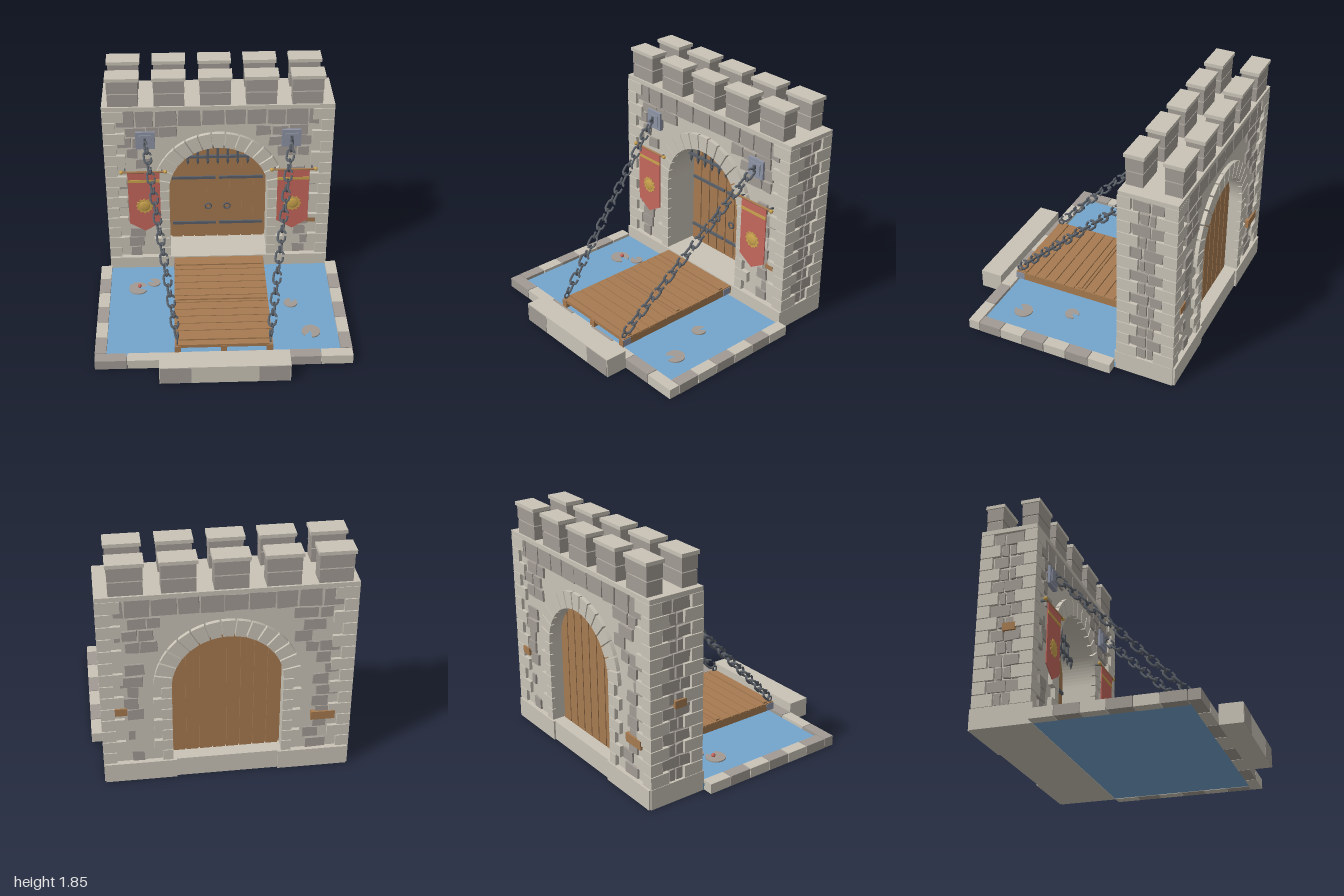
import * as THREE from 'three';

const mat = (name, color, double) => {
  const m = new THREE.MeshStandardMaterial({ color });
  m.name = name;
  if (double) m.side = THREE.DoubleSide;
  return m;
};

export function createModel() {
  const root = new THREE.Group();
  root.name = 'castleGate';
  const light = mat('lightStone', 0xcac4b7), dark = mat('darkStone', 0xa29b94), wood = mat('wood', 0xa67a50);
  const iron = mat('iron', 0x5a6068), plate = mat('steelPlate', 0x8d93a5), red = mat('bannerRed', 0xc4675c, true);
  const gold = mat('gold', 0xcba44e), blue = mat('water', 0x74a5cd);

  let seed = 7;
  const rnd = () => (seed = (seed * 16807) % 2147483647) / 2147483647;
  const group = (name, parent = root) => {
    const g = new THREE.Group();
    g.name = name;
    parent.add(g);
    return g;
  };
  const add = (parent, name, geo, m, x = 0, y = 0, z = 0) => {
    const mesh = new THREE.Mesh(geo, m);
    mesh.name = name;
    mesh.position.set(x, y, z);
    parent.add(mesh);
    return mesh;
  };
  // Box given by its limits
  const box = (parent, name, m, x0, x1, y0, y1, z0, z1) =>
    add(parent, name, new THREE.BoxGeometry(x1 - x0, y1 - y0, z1 - z0), m, (x0 + x1) / 2, (y0 + y1) / 2, (z0 + z1) / 2);
  // Box with uneven corners; matching corners move together
  const stone = (parent, m, x0, x1, y0, y1, z0, z1) => {
    const mesh = box(parent, 'wallStone', m, x0, x1, y0, y1, z0, z1);
    const p = mesh.geometry.attributes.position, j = Array.from({ length: 8 }, () => (rnd() - 0.5) * 0.014);
    for (let i = 0; i < p.count; i++) {
      const k = (p.getX(i) > 0 ? 1 : 0) + (p.getY(i) > 0 ? 2 : 0) + (p.getZ(i) > 0 ? 4 : 0);
      p.setXYZ(i, p.getX(i) + (x1 - x0 > 0.06 ? j[k] : 0), p.getY(i) + j[(k + 3) % 8], p.getZ(i) + (z1 - z0 > 0.06 ? j[k] : 0));
    }
    mesh.geometry.computeVertexNormals();
  };
  const extrude = (shape, depth, curveSegments = 24) =>
    new THREE.ExtrudeGeometry(shape, { depth, bevelEnabled: false, curveSegments });

  // Doorway outline
  const R = 0.41, SPRING = 0.82, BASE = 0.16;
  const archPath = (path, r, y0 = BASE) => {
    path.moveTo(-r, y0);
    path.lineTo(r, y0);
    path.lineTo(r, SPRING);
    path.absarc(0, SPRING, r, 0, Math.PI, false);
    path.lineTo(-r, y0);
    return path;
  };

  // Plinth and wall core
  const wall = group('wall');
  box(wall, 'plinth', light, -0.92, 0.92, 0, BASE, -0.93, -0.46);
  for (const s of [-1, 1]) box(wall, 'plinthEnd', light, s * 0.645 - 0.265, s * 0.645 + 0.265, 0, BASE, -0.945, -0.92);
  const core = new THREE.Shape();
  core.moveTo(-0.89, BASE);
  core.lineTo(-R, BASE);
  core.lineTo(-R, SPRING);
  core.absarc(0, SPRING, R, Math.PI, 0, true);
  core.lineTo(R, BASE);
  core.lineTo(0.89, BASE);
  core.lineTo(0.89, 1.57);
  core.lineTo(-0.89, 1.57);
  add(wall, 'wallCore', extrude(core, 0.4), light, 0, 0, -0.905);
  box(wall, 'topSlab', light, -0.92, 0.92, 1.565, 1.6, -0.93, -0.48);

  // Corner stones, alternately long and short
  const quoins = group('cornerStones', wall);
  for (let i = 0; i < 14; i++) {
    const y0 = BASE + i * 0.1004 + 0.003, y1 = y0 + 0.094;
    const w = i % 2 ? 0.17 : 0.1, d = i % 2 ? 0.1 : 0.16;
    for (const s of [-1, 1]) {
      const a = s > 0 ? 0.92 - w : -0.92, b = s > 0 ? 0.92 : -0.92 + w;
      box(quoins, 'frontCornerStone', light, a, b, y0, y1, -0.475 - d, -0.475);
      box(quoins, 'backCornerStone', light, a, b, y0, y1, -0.93, -0.93 + d);
    }
  }

  // Front and back: arch rings, jamb stones and rubble rows
  for (const [z0, z1, face] of [[-0.51, -0.47, 'front'], [-0.935, -0.9, 'back']]) {
    const ring = group(face + 'Arch', wall);
    const n = 15, step = Math.PI / n;
    for (let i = 0; i < n; i++) {
      const a = i * step + 0.012, b = (i + 1) * step - 0.012, s = new THREE.Shape();
      s.absarc(0, SPRING, R - 0.005, a, b, false);
      s.absarc(0, SPRING, 0.535, b, a, true);
      add(ring, 'archStone', extrude(s, z1 - z0, 4), light, 0, 0, z0);
    }
    for (let i = 0; i < 7; i++) for (const s of [-1, 1]) {
      const o = i % 2 ? 0.54 : 0.48, y = BASE + i * 0.0943;
      box(ring, 'jambStone', light, s > 0 ? R - 0.005 : -o, s > 0 ? o : 0.005 - R, y + 0.003, y + 0.091, z0, z1);
    }
    const rubble = group(face + 'Rubble', wall);
    const sz0 = face === 'front' ? -0.52 : -0.922, sz1 = face === 'front' ? -0.487 : -0.89;
    for (let i = 0; i < 14; i++) {
      const y0 = BASE + 0.008 + i * 0.0965, top = i === 13, h = top ? 0.135 : 0.084;
      let x = i % 2 ? -0.81 : -0.74;
      const end = -x;
      while (x < end - 0.05) {
        const w = Math.min(top ? 0.15 + rnd() * 0.04 : 0.1 + rnd() * 0.11, end - x);
        const nearX = Math.max(0, x, -(x + w));
        const clear = y0 > SPRING ? Math.hypot(nearX, y0 - SPRING) > 0.555 : nearX > 0.55;
        if (w > 0.04 && clear && (top || rnd() > 0.14)) stone(rubble, dark, x, x + w - 0.014, top ? 1.425 : y0, (top ? 1.425 : y0) + h, sz0, sz1);
        x += w;
      }
    }
  }

  // Side rubble
  const sides = group('sideRubble', wall);
  for (const s of [-1, 1]) for (let i = 0; i < 14; i++) {
    const y = BASE + 0.008 + i * 0.1, a = i % 2 ? -0.82 : -0.76, b = i % 2 ? -0.585 : -0.645;
    const mid = a + (b - a) * (0.35 + rnd() * 0.3), x0 = s > 0 ? 0.87 : -0.908, x1 = s > 0 ? 0.908 : -0.87;
    stone(sides, dark, x0, x1, y, y + 0.085, a, mid - 0.007);
    stone(sides, dark, x0, x1, y, y + 0.085, mid + 0.007, b);
  }

  // A few brown bricks
  box(wall, 'brick', wood, 0.73, 0.81, 0.485, 0.525, -0.51, -0.474);
  box(wall, 'brick', wood, 0.73, 0.82, 0.6, 0.66, -0.936, -0.89);
  box(wall, 'brick', wood, -0.8, -0.62, 0.43, 0.5, -0.936, -0.89);
  box(wall, 'brick', wood, -0.925, -0.88, 0.74, 0.8, -0.72, -0.62);

  // Battlements
  const merlons = group('battlements');
  for (let i = 0; i < 5; i++) for (const z of [-0.56, -0.85]) {
    const x = -0.75 + i * 0.3635;
    box(merlons, 'merlonLower', dark, x - 0.12, x + 0.12, 1.6, 1.705, z - 0.065, z + 0.065);
    box(merlons, 'merlonUpper', dark, x - 0.122, x + 0.122, 1.715, 1.82, z - 0.067, z + 0.067);
    box(merlons, 'merlonJoint', light, x - 0.11, x + 0.11, 1.7, 1.72, z - 0.058, z + 0.058);
    box(merlons, 'merlonCap', light, x - 0.133, x + 0.133, 1.82, 1.848, z - 0.077, z + 0.077);
  }

  // Plank door, straps and ring handles
  const door = group('door');
  add(door, 'doorBacking', extrude(archPath(new THREE.Shape(), R), 0.045), wood, 0, 0, -0.815);
  for (let i = 0; i < 8; i++) {
    const x0 = -0.4 + i * 0.1 + 0.005, x1 = x0 + 0.09, s = new THREE.Shape();
    const top = x => SPRING + Math.sqrt(Math.max(0, 0.408 ** 2 - x * x));
    s.moveTo(x0, BASE);
    s.lineTo(x1, BASE);
    for (let k = 0; k <= 4; k++) s.lineTo(x1 - 0.0225 * k, top(x1 - 0.0225 * k));
    add(door, 'doorPlank', extrude(s, 0.075), wood, 0, 0, -0.83);
  }
  for (const s of [-1, 1]) {
    for (const y of [0.31, 0.77]) box(door, 'strap', iron, s * 0.2 - 0.185, s * 0.2 + 0.185, y - 0.012, y + 0.012, -0.756, -0.74);
    add(door, 'ringHandle', new THREE.TorusGeometry(0.026, 0.007, 8, 20), iron, s * 0.08, 0.485, -0.74);
  }

  // Raised portcullis
  const port = group('portcullis');
  for (let i = 0; i < 9; i++) {
    const x = -0.33 + i * 0.0825, top = SPRING + Math.sqrt(0.41 ** 2 - x * x);
    box(port, 'bar', iron, x - 0.009, x + 0.009, 0.99, top, -0.669, -0.651);
    add(port, 'barPoint', new THREE.ConeGeometry(0.015, 0.045, 6), iron, x, 0.972, -0.66).rotation.x = Math.PI;
  }
  for (const [y, w] of [[1.03, 0.35], [1.13, 0.26]]) box(port, 'crossBar', iron, -w, w, y - 0.01, y + 0.01, -0.672, -0.648);

  // Moat with stone edging
  const moat = group('moat');
  box(moat, 'water', blue, -0.92, 0.92, 0.004, 0.055, -0.47, 0.68);
  for (let i = 0; i < 8; i++) box(moat, 'frontEdging', i % 2 ? light : dark, -1 + i * 0.25 + 0.003, -0.753 + i * 0.25, 0, 0.08, 0.672, 0.76);
  for (let i = 0; i < 6; i++) for (const s of [-1, 1])
    box(moat, 'sideEdging', i % 2 ? dark : light, s * 0.955 - 0.045, s * 0.955 + 0.045, 0, 0.08, -0.457 + i * 0.188, -0.275 + i * 0.188);
  box(moat, 'landing', light, -0.5, 0.5, 0, 0.155, 0.76, 0.937);
  for (const s of [-1, 1]) box(moat, 'landingFace', dark, s * 0.375 - 0.118, s * 0.375 + 0.118, 0.003, 0.15, 0.936, 0.94);
  // Lily pads with a notch
  for (const [x, z, r, turn] of [[-0.68, -0.16, 0.078, 0], [-0.55, -0.235, 0.052, 2.8], [0.57, 0.075, 0.056, 1.2], [0.7, 0.44, 0.074, -1.9]])
    add(moat, 'lilyPad', new THREE.CylinderGeometry(r, r, 0.01, 24, 1, false, turn + 1.9, 5.5), dark, x, 0.06, z);
  add(moat, 'lilyBud', new THREE.SphereGeometry(0.017, 12, 8), red, -0.67, 0.075, -0.175);

  // Drawbridge
  const bridge = group('drawbridge');
  for (let i = 0; i < 13; i++) {
    const z = -0.46 + i * 0.0877;
    box(bridge, 'plank', wood, -0.378, 0.378, 0.125, 0.153, z + 0.004, z + 0.084);
  }
  for (const x of [-0.355, 0, 0.355]) box(bridge, 'beam', wood, x - 0.024, x + 0.024, 0.085, 0.145, -0.46, 0.685);
  for (const z of [-0.355, 0.11, 0.605]) box(bridge, 'batten', wood, -0.365, 0.365, 0.15, 0.165, z - 0.018, z + 0.018);

  // Chains, wall plates and fittings
  const link = new THREE.TorusGeometry(0.03, 0.0095, 8, 16);
  const lp = link.attributes.position;
  for (let i = 0; i < lp.count; i++) lp.setY(i, lp.getY(i) + Math.sign(lp.getY(i)) * 0.018);
  link.computeVertexNormals();
  for (const s of [-1, 1]) {
    const chain = group(s > 0 ? 'leftChain' : 'rightChain');
    const a = new THREE.Vector3(s * 0.585, 1.3, -0.44), b = new THREE.Vector3(s * 0.362, 0.2, 0.64);
    const dir = b.clone().sub(a).normalize(), n = 19;
    for (let i = 0; i < n; i++) {
      const m = add(chain, 'chainLink', link, iron);
      m.position.lerpVectors(a, b, (i + 0.5) / n);
      m.quaternion.setFromUnitVectors(new THREE.Vector3(0, 1, 0), dir);
      m.rotateY(i % 2 ? 0 : Math.PI / 2);
    }
    box(chain, 'wallPlate', plate, s * 0.585 - 0.077, s * 0.585 + 0.077, 1.228, 1.38, -0.5, -0.467);
    box(chain, 'plateBoss', plate, s * 0.585 - 0.05, s * 0.585 + 0.05, 1.255, 1.353, -0.47, -0.459);
    box(chain, 'plateStaple', iron, s * 0.585 - 0.01, s * 0.585 + 0.01, 1.28, 1.335, -0.465, -0.445);
    add(chain, 'bridgeRing', new THREE.TorusGeometry(0.021, 0.007, 8, 16), iron, s * 0.36, 0.178, 0.655).rotation.y = Math.PI / 2;
    for (const z of [-0.41, 0.645]) box(chain, 'bridgeBracket', plate, s * 0.369 - 0.014, s * 0.369 + 0.014, 0.088, 0.146, z - 0.037, z + 0.037);

    // Banner
    const banner = group(s > 0 ? 'leftBanner' : 'rightBanner');
    banner.position.set(s * 0.61, 0, -0.445);
    const cloth = new THREE.Shape();
    cloth.moveTo(-0.13, 1.02);
    cloth.lineTo(-0.13, 0.53);
    cloth.lineTo(0, 0.45);
    cloth.lineTo(0.13, 0.53);
    cloth.lineTo(0.13, 1.02);
    add(banner, 'cloth', extrude(cloth, 0.008), red, 0, 0, -0.004);
    box(banner, 'clothStripe', gold, -0.13, 0.13, 0.928, 0.953, 0.003, 0.007);
    add(banner, 'rod', new THREE.CylinderGeometry(0.009, 0.009, 0.35, 10), wood, 0, 1.025, 0).rotation.z = Math.PI / 2;
    for (const e of [-1, 1]) {
      add(banner, 'rodKnob', new THREE.SphereGeometry(0.016, 12, 8), gold, e * 0.178, 1.025, 0);
      box(banner, 'rodBracket', iron, e * 0.15 - 0.007, e * 0.15 + 0.007, 1.018, 1.032, -0.05, 0);
    }
    const sun = new THREE.Shape();
    for (let i = 0; i < 24; i++) {
      const r = i % 2 ? 0.058 : 0.073, t = i * Math.PI / 12;
      sun[i ? 'lineTo' : 'moveTo'](Math.sin(t) * r, Math.cos(t) * r);
    }
    add(banner, 'sunRays', extrude(sun, 0.006), gold, 0, 0.7, 0.003);
    add(banner, 'sunDisc', new THREE.SphereGeometry(0.045, 20, 12), gold, 0, 0.7, 0.008).scale.z = 0.2;
  }
  return root;
}
